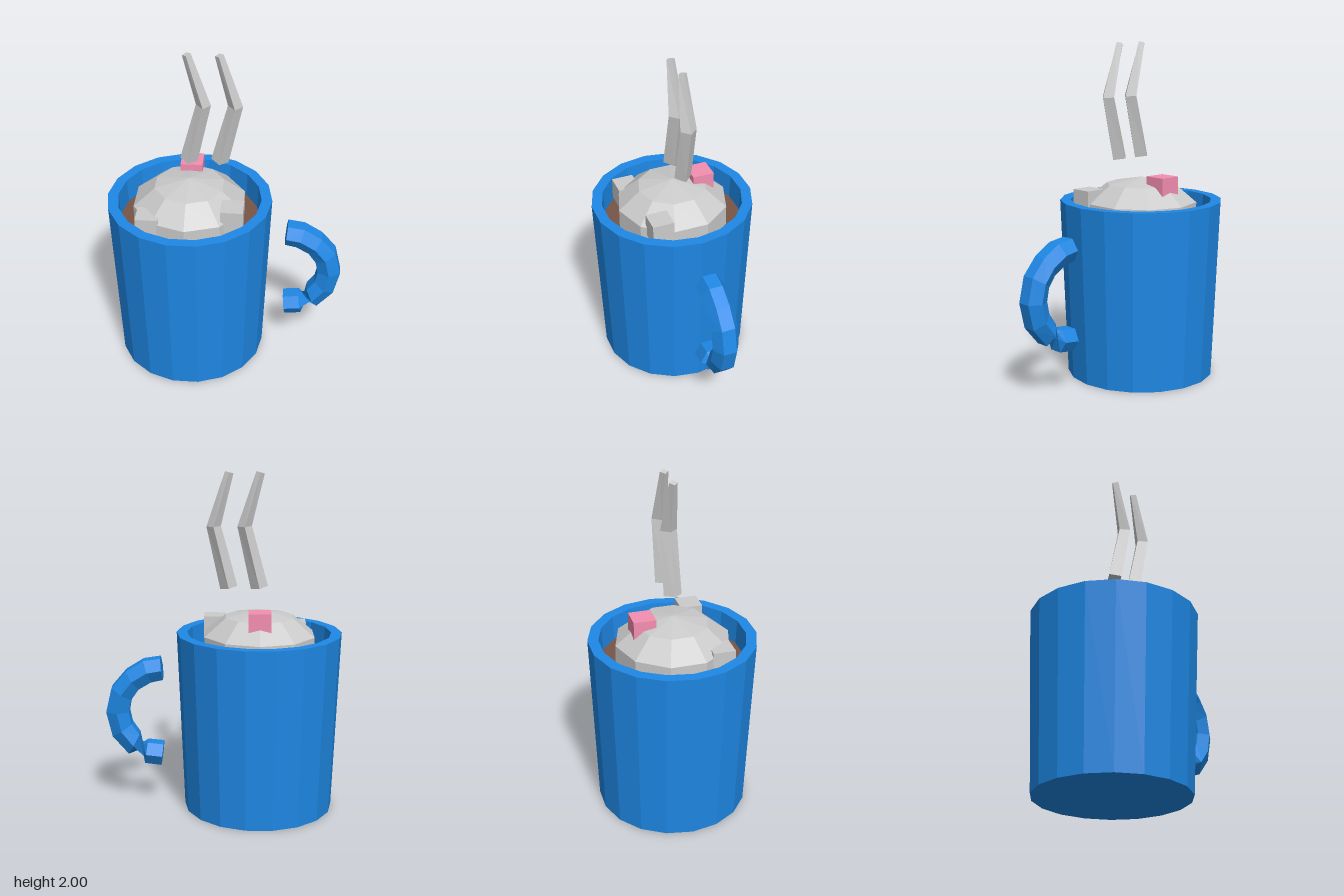
import * as THREE from 'three';

const CUP_X = -0.213;

const material = (color, side = THREE.FrontSide) =>
  new THREE.MeshStandardMaterial({ color, side, flatShading: true });

function add(parent, name, geometry, mat, x = 0, y = 0, z = 0) {
  const mesh = new THREE.Mesh(geometry, mat);
  mesh.name = name;
  mesh.position.set(x, y, z);
  parent.add(mesh);
  return mesh;
}

// Capped tube bent in the xy plane. Each ring is [innerX, innerY, outerX, outerY, halfDepth, turn].
function bentTube(rings, sides, phase) {
  const centres = [];
  const loops = rings.map(([ix, iy, ox, oy, depth, turn = 0]) => {
    const c = new THREE.Vector3((ix + ox) / 2, (iy + oy) / 2, 0);
    const half = new THREE.Vector3((ox - ix) / 2, (oy - iy) / 2, 0);
    centres.push(c);
    return Array.from({ length: sides }, (_, k) => {
      const a = phase + turn + (k / sides) * Math.PI * 2;
      const p = c.clone().addScaledVector(half, Math.cos(a) / Math.cos(phase));
      p.z = Math.sin(a) * depth;
      return p;
    });
  });
  const pts = [];
  const last = loops.length - 1;
  for (let k = 0; k < sides; k++) {
    const n = (k + 1) % sides;
    for (let i = 0; i < last; i++) {
      const a = loops[i], b = loops[i + 1];
      pts.push(a[k], a[n], b[k], a[n], b[n], b[k]);
    }
    pts.push(centres[0], loops[0][n], loops[0][k]);
    pts.push(centres[last], loops[last][k], loops[last][n]);
  }
  const geometry = new THREE.BufferGeometry().setFromPoints(pts);
  geometry.computeVertexNormals();
  return geometry;
}

export function createModel() {
  const group = new THREE.Group();
  const blue = material(0x1e88e5);
  const grey = material(0xcccccc);

  // Tapered cup with a thick rim and hollow inside
  const profile = [[0, 0], [0.4425, 0], [0.485, 1.065], [0.423, 1.065], [0.37, 0.06], [0, 0.06]]
    .map(([r, y]) => new THREE.Vector2(r, y));
  add(group, 'cup', new THREE.LatheGeometry(profile, 18, Math.PI / 2), blue, CUP_X);

  // Drink surface
  const disc = new THREE.CircleGeometry(0.416, 18).rotateX(-Math.PI / 2);
  add(group, 'drink', disc, material(0x795548), CUP_X, 0.92);

  // Flattened dome of cream
  const cream = new THREE.SphereGeometry(0.352, 10, 5, Math.PI / 2).scale(1, 0.21 / 0.352, 1);
  add(group, 'cream', cream, grey, CUP_X, 0.99);

  // Marshmallow cubes
  const pink = material(0xf48fb1);
  const cube = new THREE.BoxGeometry(0.13, 0.13, 0.13);
  add(group, 'pinkMarshmallow', cube, pink, -0.213, 1.155, -0.178);
  add(group, 'leftMarshmallow', cube, grey, 0.05, 1.067, 0.175);
  add(group, 'rightMarshmallow', cube, grey, -0.433, 1.02, 0.217);

  // Six-sided handle; the last two rings are turned half round, which pinches the lower end
  const d = 0.08;
  const handle = bentTube([
    [0.355, 0.78, 0.37, 0.91, d],
    [0.425, 0.765, 0.47, 0.895, d],
    [0.5, 0.72, 0.575, 0.83, d],
    [0.545, 0.655, 0.66, 0.73, d],
    [0.56, 0.58, 0.695, 0.58, d],
    [0.545, 0.505, 0.66, 0.43, d],
    [0.5, 0.44, 0.565, 0.32, d],
    [0.45, 0.39, 0.468, 0.262, d, Math.PI],
    [0.355, 0.38, 0.37, 0.25, d, Math.PI],
  ], 6, Math.PI / 6);
  add(group, 'handle', handle, material(0x1e88e5, THREE.DoubleSide));

  // Two bent wisps of steam, diamond in section
  const wisp = bentTube([
    [-0.238, 1.988, -0.19, 2.0, 0.024],
    [-0.167, 1.69, -0.083, 1.685, 0.048],
    [-0.262, 1.34, -0.163, 1.32, 0.052],
  ], 4, 0);
  for (const i of [0, 1]) add(group, i ? 'leftSteam' : 'rightSteam', wisp, grey, i * 0.178);

  return group;
}
